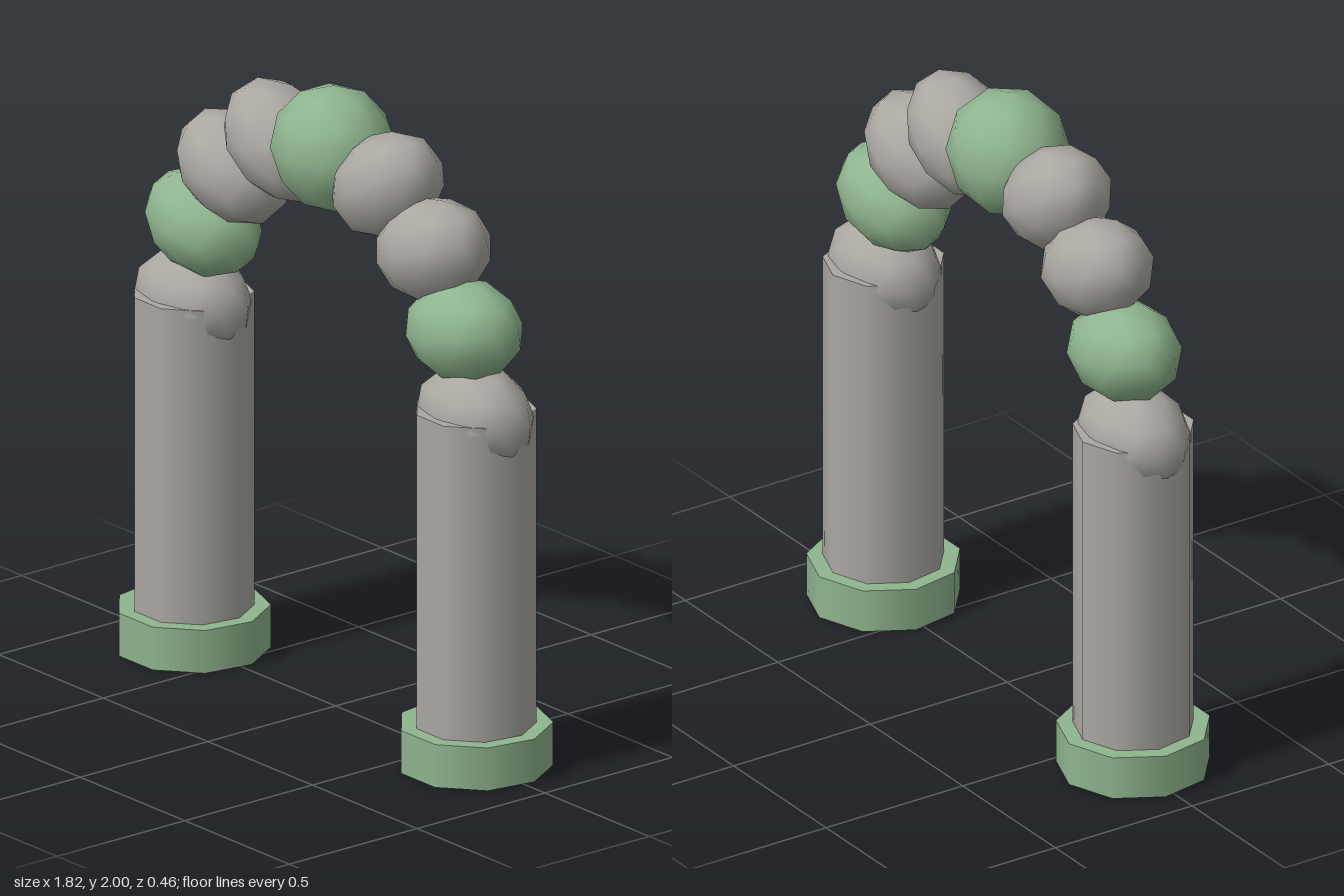
import * as THREE from 'three';

export function createModel() {
  const arch = new THREE.Group();
  arch.name = 'archway';
  const stone = new THREE.MeshStandardMaterial({ color: 0xaba8a2 });
  stone.name = 'grey stone';
  const green = new THREE.MeshStandardMaterial({ color: 0x8fb58f });
  green.name = 'sage green stone';

  const ARC = 0.675; // radius of the arch, also half the pillar spacing
  const SPRING = 1.13; // height of the arch centre
  const Z = 0.007;

  function add(name, geometry, material, x, y) {
    const mesh = new THREE.Mesh(geometry, material);
    mesh.name = name;
    mesh.position.set(x, y, Z);
    arch.add(mesh);
    return mesh;
  }

  // Nine-sided drum with a corner at the back
  const drum = (radius, height) => new THREE.CylinderGeometry(radius, radius, height, 9, 1, false, Math.PI);

  // Low-poly boulder with one corner straight up and an edge midpoint facing front
  const boulder = new THREE.IcosahedronGeometry(1, 1);
  boulder.rotateX(-Math.atan((1 + Math.sqrt(5)) / 2));
  boulder.rotateY(Math.PI / 2);

  const pillar = drum(0.187, 1.15);
  const base = drum(0.237, 0.138);
  const names = ['capitalStone', 'lowerArchStone', 'middleArchStone', 'upperArchStone'];

  for (const side of [-1, 1]) {
    const label = side > 0 ? 'left' : 'right';
    add(label + 'Base', base, green, side * ARC, 0.071);
    add(label + 'Pillar', pillar, stone, side * ARC, 0.575);

    // Stones climb the arch, leaning half as much as the curve turns
    names.forEach((name, i) => {
      const angle = i * Math.PI / 8;
      const block = add(label + '_' + name, boulder, i === 1 ? green : stone,
        side * ARC * Math.cos(angle), SPRING + ARC * Math.sin(angle));
      block.scale.set(0.215, 0.16, 0.158);
      block.rotation.z = side * angle / 2;
    });
  }

  // Larger stone at the crown
  add('keystone', boulder, green, 0, 1.8).scale.set(0.21, 0.2, 0.184);

  return arch;
}
